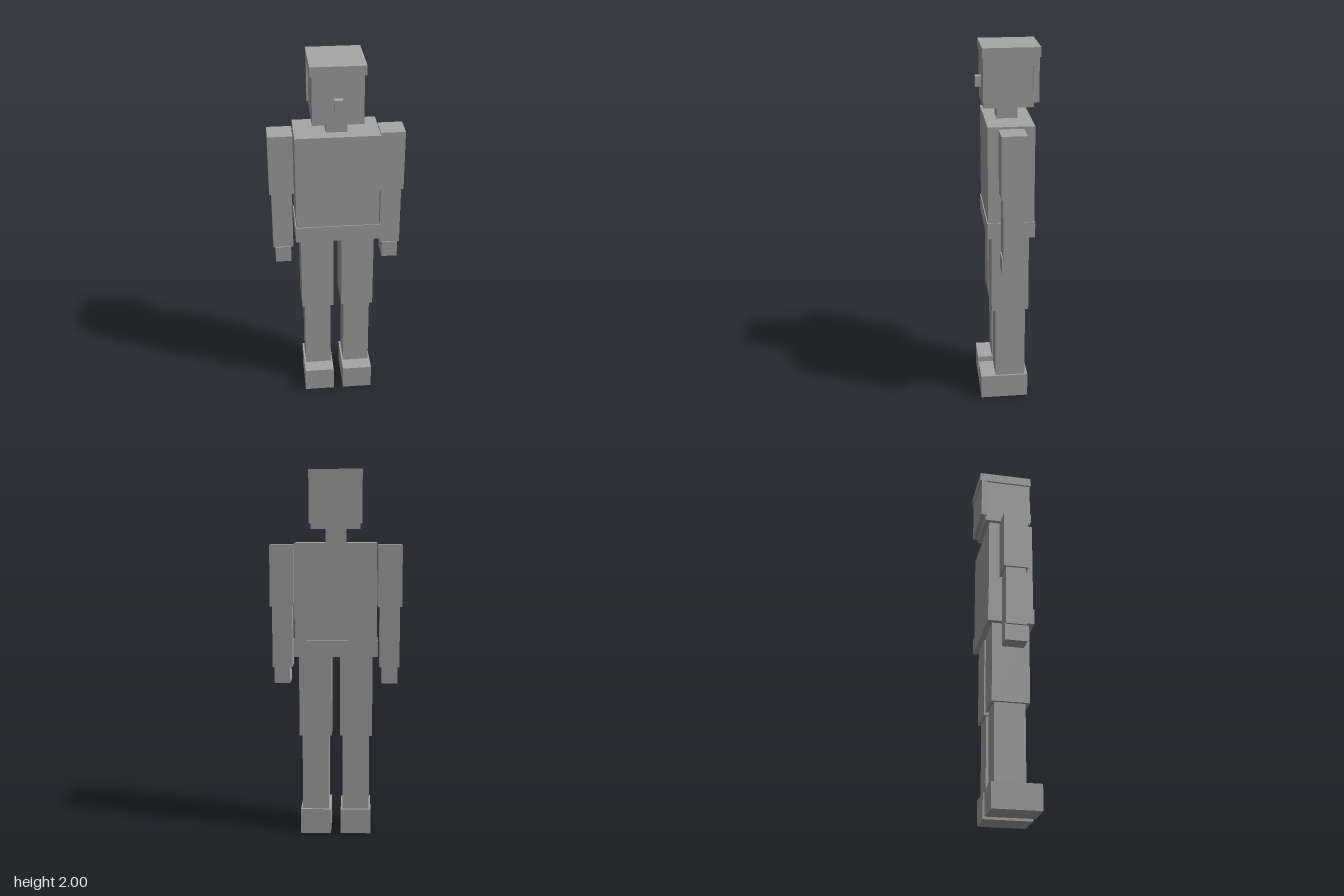
import * as THREE from 'three';

export function createModel() {
  const model = new THREE.Group();
  model.name = 'blockFigure';
  const grey = new THREE.MeshStandardMaterial({ color: 0xa6a6a6 });
  grey.name = 'plain grey';

  // Box given by its extents on each axis
  function block(parent, name, [x0, x1], [y0, y1], [z0, z1]) {
    const mesh = new THREE.Mesh(new THREE.BoxGeometry(x1 - x0, y1 - y0, z1 - z0), grey);
    mesh.position.set((x0 + x1) / 2, (y0 + y1) / 2, (z0 + z1) / 2);
    mesh.name = name;
    parent.add(mesh);
  }
  function group(name) {
    const g = new THREE.Group();
    g.name = name;
    model.add(g);
    return g;
  }

  // Head with nose and hair
  const head = group('headGroup');
  block(head, 'head', [-0.132, 0.132], [1.69, 1.952], [-0.132, 0.13]);
  block(head, 'nose', [-0.022, 0.022], [1.778, 1.833], [0.12, 0.162]);
  block(head, 'hairTop', [-0.143, 0.143], [1.95, 2], [-0.165, 0.135]);
  block(head, 'hairBack', [-0.142, 0.142], [1.718, 1.952], [-0.157, -0.125]);

  // Neck, torso and belt
  const body = group('body');
  block(body, 'neck', [-0.056, 0.056], [1.61, 1.692], [-0.056, 0.054]);
  block(body, 'torso', [-0.223, 0.223], [1.01, 1.615], [-0.127, 0.118]);
  block(body, 'belt', [-0.228, 0.228], [1.004, 1.092], [-0.132, 0.123]);

  // Arms and legs, mirrored from side to side
  for (const [side, s] of [['left', 1], ['right', -1]]) {
    const span = (a, b) => (s > 0 ? [a, b] : [-b, -a]);
    const arm = group(side + 'Arm');
    block(arm, 'upperArm', span(0.229, 0.36), [1.27, 1.605], [-0.07, 0.062]);
    block(arm, 'forearm', span(0.239, 0.349), [0.936, 1.272], [-0.058, 0.052]);
    block(arm, 'hand', span(0.252, 0.338), [0.846, 0.938], [-0.061, 0.058]);

    const leg = group(side + 'Leg');
    block(leg, 'thigh', span(0.022, 0.2), [0.56, 1.006], [-0.103, 0.1]);
    block(leg, 'shin', span(0.037, 0.184), [0.136, 0.562], [-0.087, 0.079]);
    block(leg, 'foot', span(0.027, 0.194), [0, 0.138], [-0.103, 0.162]);
  }
  return model;
}
